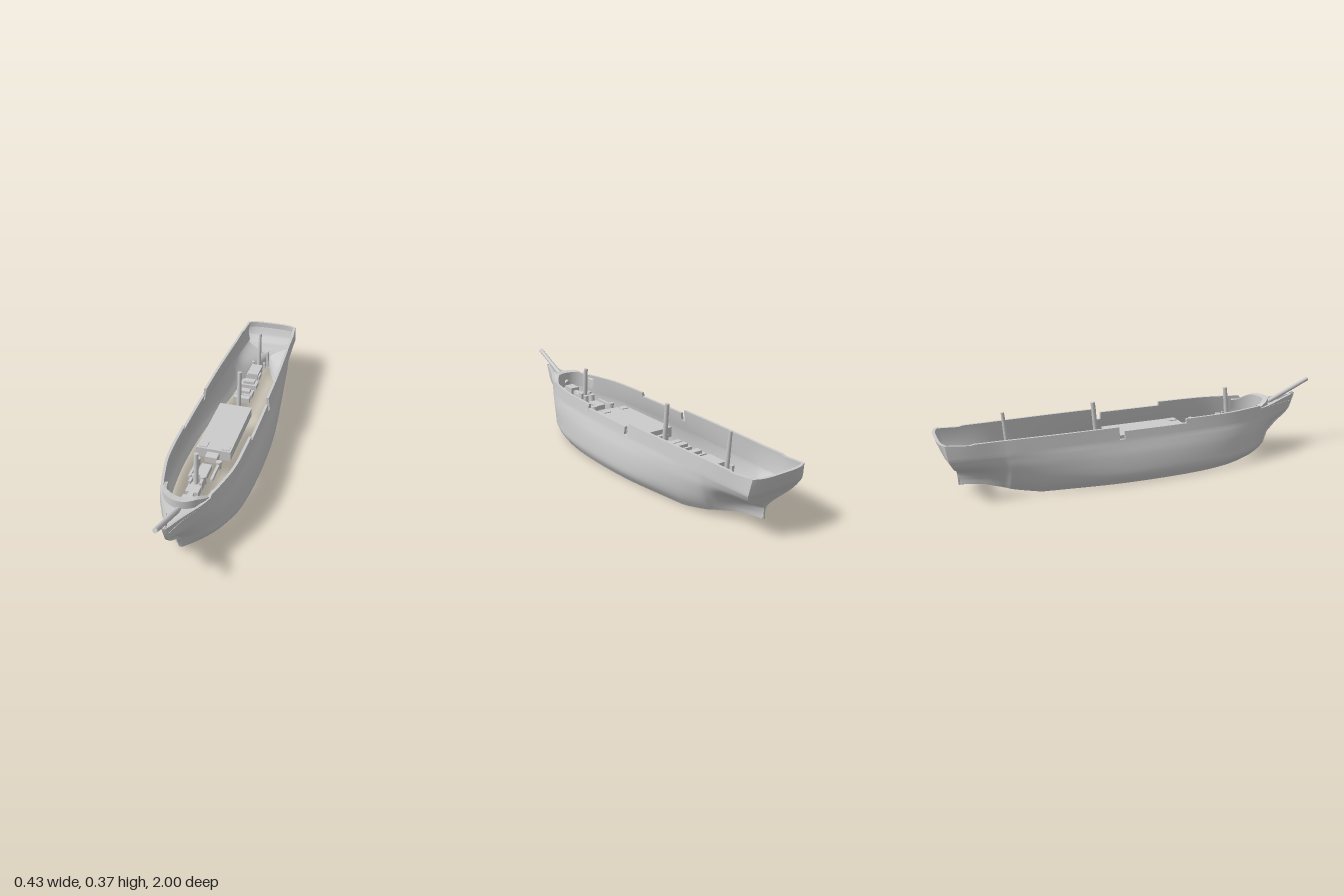
import * as THREE from 'three';
import { toCreasedNormals } from 'three/addons/utils/BufferGeometryUtils.js';

const V = (x, y, z) => new THREE.Vector3(x, y, z);
const clamp = THREE.MathUtils.clamp;
const material = new THREE.MeshStandardMaterial({ color: 0xcccccc, side: THREE.DoubleSide });

// Hull lines from keel opening to rail: height, stern z, bow z, half widths from stern to bow
const LINES = [
  [0, -0.91, 0.73, [.004, .042, .085, .115, .155, .185, .19, .165, .12, .09, .05, .006]],
  [.04, -0.91, 0.735, [.004, .052, .105, .138, .18, .208, .21, .191, .15, .118, .065, .006]],
  [.085, -0.915, 0.75, [.02, .078, .128, .155, .19, .21, .211, .192, .154, .12, .07, .006]],
  [.145, -0.94, 0.80, [.118, .136, .153, .168, .19, .202, .203, .188, .156, .118, .063, .006]],
  [.19, -0.957, 0.86, [.147, .154, .161, .169, .184, .189, .19, .18, .15, .11, .05, .006]],
  [.22, -0.965, 0.885, [.152, .157, .162, .168, .177, .181, .181, .172, .145, .105, .045, .006]],
  [.28, -0.975, 0.91, [.145, .156, .158, .162, .17, .172, .172, .165, .138, .1, .042, .006]],
];
const MID = [-0.65, -0.4, -0.15, 0.15, 0.4, 0.55];

const keelY = z => z > 0.25 ? 0.035 * Math.min(1, (z - 0.25) / 0.48) ** 2
  : z < -0.55 ? 0.045 * Math.min(1, (-z - 0.55) / 0.25) : 0;
const railY = z => z > 0.632 ? 0.265 + 0.03 * ((z - 0.63) / 0.28) ** 2
  : z < -0.85 ? 0.274 + 0.01 * (-0.85 - z) / 0.125 : 0.28;
// Height of the deck fittings, rising to the bow
const deckY = z => 0.158 + 0.025 * clamp((z - 0.2) / 0.3, 0, 1);

const curves = LINES.map(([, zs, zb, w]) => {
  const zz = [1, .6, .25].map(f => -0.65 + f * (zs + 0.65))
    .concat(MID, [.35, .7, 1].map(f => 0.55 + f * (zb - 0.55)));
  return new THREE.CatmullRomCurve3(w.map((x, i) => V(x, 0, zz[i])), false, 'catmullrom', 0.5);
});

// Vertical section of the hull at lengthwise parameter u
function section(u) {
  return new THREE.CatmullRomCurve3(curves.map((c, k) => {
    const p = c.getPoint(u), y = LINES[k][0];
    p.y = k === 6 ? railY(p.z) : y + keelY(p.z) * (1 - y / 0.22);
    p.x = Math.max(p.x, 0.003);
    return p;
  }), false, 'catmullrom', 0.5);
}

// Lengthwise parameter where the rail reaches z
function uAt(z) {
  let a = 0, b = 1;
  for (let i = 0; i < 30; i++) {
    const m = (a + b) / 2;
    if (curves[6].getPoint(m).z < z) a = m; else b = m;
  }
  return a;
}

// Surface through rows of points
function grid(rows, crease = 0) {
  const n = rows[0].length, idx = [];
  for (let i = 0; i < rows.length - 1; i++) for (let j = 0; j < n - 1; j++) {
    const a = i * n + j, b = a + n;
    idx.push(a, b, a + 1, b, b + 1, a + 1);
  }
  const g = new THREE.BufferGeometry().setFromPoints(rows.flat());
  g.setIndex(idx);
  g.computeVertexNormals();
  return crease ? toCreasedNormals(g, crease) : g;
}

export function createModel() {
  const ship = new THREE.Group();
  ship.name = 'sailingShipHull';
  const add = (name, geo, x = 0, y = 0, z = 0) => {
    const m = new THREE.Mesh(geo, material);
    m.name = name;
    m.position.set(x, y, z);
    ship.add(m);
    return m;
  };
  const pair = (name, geo) => {
    add(name + 'Left', geo);
    add(name + 'Right', geo).scale.x = -1;
  };
  const box = (name, w, h, d, x, y, z) => add(name, new THREE.BoxGeometry(w, h, d), x, y + h / 2, z);
  const rod = (name, a, b, r1, r2) => {
    const d = b.clone().sub(a);
    const m = add(name, new THREE.CylinderGeometry(r2, r1, d.length(), 16));
    m.position.copy(a).addScaledVector(d, 0.5);
    m.quaternion.setFromUnitVectors(V(0, 1, 0), d.normalize());
  };

  // Hull sides, open underneath
  const sides = [];
  for (let i = 0; i <= 88; i++) {
    const s = section(i / 88);
    sides.push(Array.from({ length: 21 }, (_, j) => s.getPoint(j / 20 * 5 / 6)));
  }
  pair('hullSide', grid(sides));

  // Rounded transom and counter closing the stern, with a thin rail along the top
  const stern = section(0), transom = [];
  const sternRow = (p, dz, dy) => Array.from({ length: 17 }, (_, i) => {
    const f = 1 - i / 8;
    const bulge = 0.025 * clamp((p.y - 0.17) / 0.11, 0, 1) * (1 - f ** 4);
    return V(p.x * f, p.y + dy, p.z - bulge + dz);
  });
  for (let j = 0; j <= 24; j++) transom.push(sternRow(stern.getPoint(j / 24), 0, 0));
  add('transom', grid(transom));
  const sill = stern.getPoint(1);
  add('transomRail', grid([[0, 0], [.014, 0], [.014, -.03]].map(([dz, dy]) => sternRow(sill, dz, dy)), 0.6));

  // Bulwarks with a low waist and a gangway dip: start z, end z, height share
  const bulwarks = [[-1, -.172, 1], [-.172, -.145, .02], [-.145, .18, .66], [.18, .632, 1], [.632, .92, 1]];
  bulwarks.forEach(([z0, z1, h], k) => {
    const u0 = uAt(z0), u1 = uAt(z1), rows = [];
    for (let i = 0; i <= 30; i++) {
      const s = section(u0 + (u1 - u0) * i / 30);
      const inset = p => V(Math.max(p.x - 0.013, 0.001), p.y, p.z);
      const top = s.getPoint((5 + h) / 6), low = s.getPoint(5 / 6);
      rows.push([low, s.getPoint((5 + h / 2) / 6), top, inset(top), inset(low), inset(s.getPoint(3.5 / 6))]);
    }
    pair('bulwark' + k, grid(rows, 0.7));
    for (const r of [rows[0], rows[30]]) pair('bulwarkEnd' + k, grid([[r[0], r[2]], [r[4], r[3]]]));
  });

  // Head deck and curved breastwork in the bow
  const arch = [], deck = [];
  for (let i = 0; i <= 32; i++) {
    const a = Math.PI * i / 32, c = Math.cos(a), s = Math.sin(a);
    const y = 0.265 + 0.032 * clamp((s - 0.3) / 0.5, 0, 1);
    const out = V(0.112 * c, 0, 0.59 + 0.145 * s), inn = V(0.1 * c, 0, 0.58 + 0.12 * s);
    const at = (p, h) => V(p.x, h, p.z);
    arch.push([at(out, 0.225), at(out, y), at(inn, y - 0.004), at(inn, 0.21)]);
    const edge = curves[6].getPoint(uAt(0.6 + 0.29 * s));
    deck.push([at(out, 0.258), V(edge.x * Math.sign(c) * Math.min(1, Math.abs(c) * 8), 0.258, edge.z)]);
  }
  add('breastwork', grid(arch, 0.6));
  add('headDeck', grid(deck));

  // Stempost, sternpost, bowsprit and raked mast stubs
  const stem = [[.73, .035], [.75, .095], [.80, .145], [.86, .19], [.885, .22], [.912, .297]];
  add('stem', grid(stem.map(([z, y]) => [V(-.008, y, z - .02), V(-.008, y, z), V(.008, y, z), V(.008, y, z - .02)]), 0.6));
  box('sternpost', 0.012, 0.1, 0.025, 0, 0.042, -0.895);
  rod('bowsprit', V(0, 0.235, 0.69), V(0, 0.364, 0.995), 0.013, 0.011);
  [['foremast', 0.485], ['mainmast', -0.243], ['mizzenmast', -0.685]].forEach(([n, z]) =>
    rod(n, V(0, deckY(z), z + 0.018), V(0, 0.366, z), 0.012, n === 'mizzenmast' ? 0.008 : 0.011));

  // Deck house and fittings: name, width, height, depth, z
  [['deckHouse', .17, .05, .405, .032], ['houseStep', .06, .03, .045, .255],
    ['foreHatch', .05, .025, .09, .38], ['windlassBed', .06, .03, .07, .53],
    ['bowspritBitts', .025, .03, .05, .585], ['bowspritHeel', .05, .045, .07, .64],
    ['fifeRail', .09, .03, .02, -.19], ['pumpBase', .085, .03, .03, -.292],
    ['mainHatch', .09, .025, .06, -.35], ['mainHatchLid', .06, .04, .035, -.35],
    ['aftHatch', .09, .025, .06, -.452], ['aftHatchLid', .06, .04, .035, -.452],
    ['skylight', .06, .04, .11, -.575], ['skylightWing', .075, .025, .05, -.55]]
    .forEach(([n, w, h, d, z]) => box(n, w, h, d, 0, deckY(z), z));

  // Paired fittings
  for (const s of [-1, 1]) {
    box('houseHatch', .04, .006, .04, s * .055, .206, .205);
    box('spareSpar', .012, .015, .13, s * .052, deckY(.375) + .01, .375);
    add('capstan', new THREE.CylinderGeometry(.014, .011, .04, 14), s * .052, deckY(.315) + .02, .315);
    add('bollard', new THREE.CylinderGeometry(.014, .014, .045, 14), s * .02, deckY(.458) + .022, .458);
    box('windlassCheek', .012, .045, .03, s * .026, deckY(.5), .5);
    box('wheelPost', .014, .035, .016, s * .032, deckY(-.668), -.668);
  }
  return ship;
}
